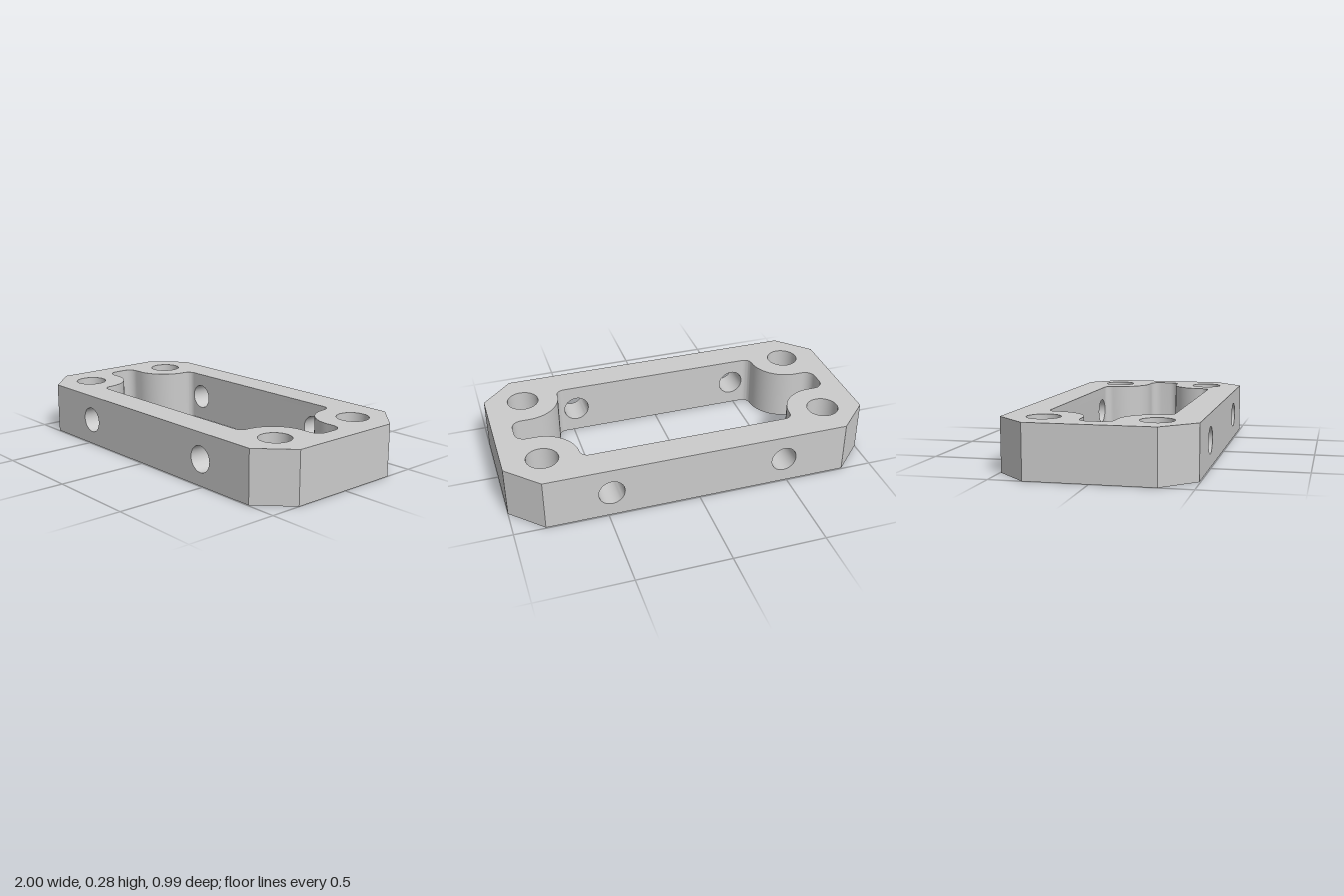
import * as THREE from 'three';
import { toCreasedNormals } from 'three/addons/utils/BufferGeometryUtils.js';

const H = 0.282;                               // plate height
const OX = 1, OZ = 0.495, CHAMFER = 0.168;     // outer half sizes
const IZ = 0.327, IX = 0.549;                  // inner rail wall
const BOSS = { x: 0.789, z: 0.284, r: 0.197, bore: 0.086 };
const CROSS = { x: 0.478, y: H / 2, r: 0.07 }; // holes through the long rails
const SEG = 20;

function arc(cx, cy, r, from, to, n) {
  return Array.from({ length: n + 1 }, (_, i) => {
    const a = THREE.MathUtils.degToRad(from + (to - from) * i / n);
    return new THREE.Vector2(cx + r * Math.cos(a), cy + r * Math.sin(a));
  });
}

// Mirror one quadrant (listed clockwise) into a closed clockwise outline
function mirrorQuadrant(q) {
  const flip = (pts, sx, sy) => pts.map(p => new THREE.Vector2(p.x * sx, p.y * sy)).reverse();
  const half = [...q, ...flip(q, 1, -1)];
  return [...half, ...flip(half, -1, 1)];
}

function circle(x, y, r) {
  return new THREE.Path().absarc(x, y, r, 0, Math.PI * 2, true);
}

// Plan of the frame: chamfered outside, bossed opening, four vertical bores
function planShape() {
  // The outside runs counter-clockwise, the holes clockwise
  const shape = new THREE.Shape(mirrorQuadrant([
    new THREE.Vector2(OX - CHAMFER, OZ), new THREE.Vector2(OX, OZ - CHAMFER),
  ]).reverse());
  shape.holes.push(new THREE.Path(mirrorQuadrant([
    ...arc(IX, BOSS.z, IZ - BOSS.z, 90, 0, 8),             // fillet beside the rail
    ...arc(BOSS.x, BOSS.z, BOSS.r, 180, 270, 18).slice(1), // rounded boss
    ...arc(0.834, 0.031, 0.056, 90, 0, 8),                 // slot corner
  ])));
  for (const sx of [-1, 1]) for (const sz of [-1, 1])
    shape.holes.push(circle(sx * BOSS.x, sz * BOSS.z, BOSS.bore));
  return shape;
}

// Flat rail wall pierced by the two cross holes, facing +z or -z
function drilledWall(halfWidth, z, facing) {
  const s = new THREE.Shape([[-1, 0], [1, 0], [1, H], [-1, H]]
    .map(([x, y]) => new THREE.Vector2(x * halfWidth, y)));
  for (const sx of [-1, 1]) s.holes.push(circle(sx * CROSS.x, CROSS.y, CROSS.r));
  const g = new THREE.ShapeGeometry(s, SEG);
  if (facing < 0) g.rotateY(Math.PI);
  return g.translate(0, 0, z);
}

// Inward-facing bore lining
function crossBore(x, z) {
  return new THREE.CylinderGeometry(CROSS.r, CROSS.r, OZ - IZ, SEG * 2, 1, true)
    .rotateX(Math.PI / 2).scale(-1, 1, 1).translate(x, CROSS.y, z);
}

// Positions of every triangle that passes the test
function triangles(geometry, keep = () => true) {
  const g = geometry.index ? geometry.toNonIndexed() : geometry;
  const p = g.attributes.position.array, out = [];
  for (let i = 0; i < p.length; i += 9) {
    const t = Array.from(p.slice(i, i + 9));
    if (keep(t)) out.push(...t);
  }
  return out;
}

export function createModel() {
  const body = new THREE.ExtrudeGeometry(planShape(), { depth: H, bevelEnabled: false, curveSegments: SEG })
    .rotateX(Math.PI / 2).translate(0, H, 0);

  // Leave out the plain long walls; drilled walls take their place
  const span = (t, k) => Math.max(t[k], t[k + 3], t[k + 6]) - Math.min(t[k], t[k + 3], t[k + 6]);
  const positions = triangles(body, t => !(span(t, 0) > 1 && span(t, 1) > 0.1 && span(t, 2) < 1e-4));

  for (const s of [-1, 1]) {
    positions.push(...triangles(drilledWall(OX - CHAMFER, s * OZ, s)));
    positions.push(...triangles(drilledWall(IX, s * IZ, -s)));
    for (const sx of [-1, 1])
      positions.push(...triangles(crossBore(sx * CROSS.x, s * (OZ + IZ) / 2)));
  }

  const geometry = new THREE.BufferGeometry();
  geometry.setAttribute('position', new THREE.Float32BufferAttribute(positions, 3));
  const frame = new THREE.Mesh(toCreasedNormals(geometry, 0.6),
    new THREE.MeshStandardMaterial({ color: 0xcccccc }));
  frame.name = 'drilledFrame';

  const group = new THREE.Group();
  group.name = 'mountingFrame';
  group.add(frame);
  return group;
}
